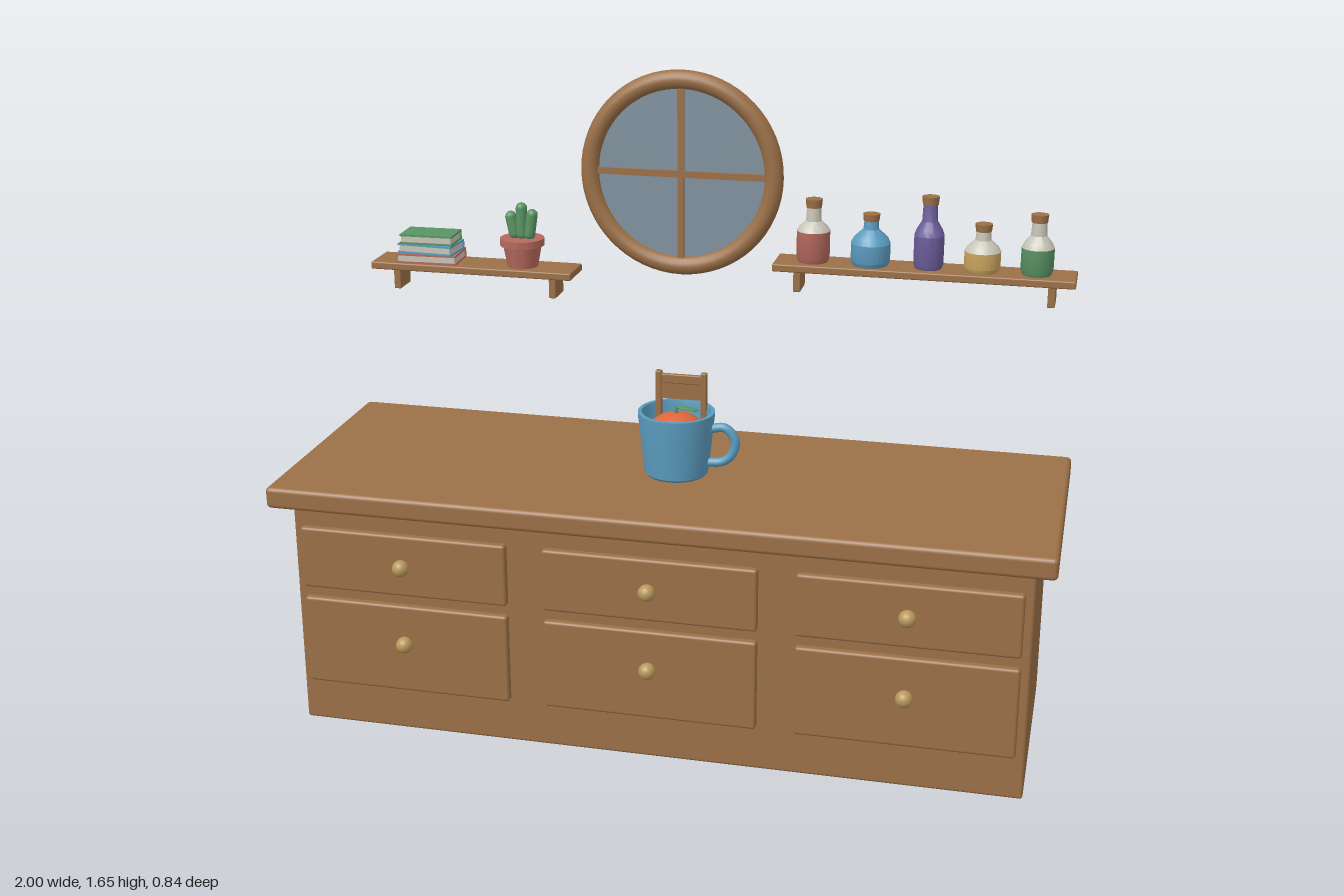
import * as THREE from 'three';
import { RoundedBoxGeometry } from 'three/addons/geometries/RoundedBoxGeometry.js';
import { toCreasedNormals } from 'three/addons/utils/BufferGeometryUtils.js';

const mat = (name, color, side = THREE.FrontSide) => {
  const m = new THREE.MeshStandardMaterial({ color, side });
  m.name = name;
  return m;
};

export function createModel() {
  const root = new THREE.Group();
  root.name = 'counterScene';
  const wood = mat('wood', 0x9b7047);
  const pane = mat('windowGlass', 0x80929e);
  const blue = mat('blue', 0x5b9cbf, THREE.DoubleSide);
  const red = mat('clayRed', 0xb5695e);
  const purple = mat('purple', 0x6d5f9c);
  const yellow = mat('yellow', 0xcba75e);
  const green = mat('green', 0x5a9464);
  const orange = mat('orange', 0xe0653c);
  const cream = mat('cream', 0xc8c5b8);
  const brass = mat('brass', 0xb8975a);

  const add = (name, geo, material, x = 0, y = 0, z = 0, parent = root) => {
    const m = new THREE.Mesh(geo, material);
    m.name = name;
    m.position.set(x, y, z);
    parent.add(m);
    return m;
  };
  // Box given by its limits, with softened edges when r > 0
  const box = (name, material, [x0, x1], [y0, y1], [z0, z1], r = 0, parent = root) => {
    const s = [x1 - x0, y1 - y0, z1 - z0];
    const geo = r ? new RoundedBoxGeometry(...s, 3, r) : new THREE.BoxGeometry(...s);
    return add(name, geo, material, (x0 + x1) / 2, (y0 + y1) / 2, (z0 + z1) / 2, parent);
  };
  const lathe = (pts, n = 24) => toCreasedNormals(
    new THREE.LatheGeometry(pts.map(p => new THREE.Vector2(...p)), n), 0.5);

  // Counter with six drawers
  box('counterBody', wood, [-0.95, 0.95], [0, 0.63], [-0.25, 0.365], 0.008);
  box('counterTop', wood, [-1, 1], [0.62, 0.677], [-0.283, 0.42], 0.012);
  for (const x of [-0.65, 0, 0.65]) {
    for (const [y0, y1, ky] of [[0.392, 0.56, 0.477], [0.12, 0.363, 0.26]]) {
      box('drawerFront', wood, [x - 0.277, x + 0.277], [y0, y1], [0.35, 0.383], 0.008);
      add('drawerKnob', new THREE.SphereGeometry(0.022, 20, 14), brass, x, ky, 0.396);
    }
  }

  // Round window
  const win = new THREE.Group();
  win.name = 'roundWindow';
  win.position.set(-0.095, 1.365, -0.393);
  root.add(win);
  add('windowFrame', new THREE.TorusGeometry(0.257, 0.026, 16, 64), wood, 0, 0, 0, win);
  const disc = add('windowPane', new THREE.CylinderGeometry(0.25, 0.25, 0.008, 48), pane, 0, 0, 0, win);
  disc.rotation.x = Math.PI / 2;
  box('verticalBar', wood, [-0.009, 0.009], [-0.245, 0.245], [-0.007, 0.012], 0, win);
  box('horizontalBar', wood, [-0.245, 0.245], [-0.009, 0.009], [-0.007, 0.012], 0, win);

  // Wall shelves with brackets
  const shelf = (x0, x1, top, brackets) => {
    box('shelfBoard', wood, [x0, x1], [top - 0.021, top], [-0.405, -0.287], 0.004);
    for (const x of brackets)
      box('shelfBracket', wood, [x - 0.01, x + 0.01], [top - 0.085, top - 0.015], [-0.403, -0.325], 0.003);
  };
  shelf(-0.97, -0.385, 1.092, [-0.908, -0.45]);
  shelf(0.178, 0.98, 1.155, [0.24, 0.918]);

  // Corked bottles: x, radius, shoulder, neck start, neck top, cork top, colour, clear upper part
  const bottles = [
    [0.28, 0.045, 0.085, 0.112, 0.148, 0.171, red, true],
    [0.435, 0.053, 0.06, 0.098, 0.12, 0.139, blue, false],
    [0.59, 0.04, 0.09, 0.128, 0.172, 0.194, purple, false],
    [0.732, 0.048, 0.055, 0.085, 0.108, 0.128, yellow, true],
    [0.875, 0.043, 0.072, 0.105, 0.14, 0.161, green, true],
  ];
  for (const [x, r, shoulder, neck, top, cork, color, clear] of bottles) {
    const g = new THREE.Group();
    g.name = 'bottle';
    g.position.set(x, 1.155, -0.345);
    root.add(g);
    add('bottleBody', lathe([[0, 0], [r * 0.88, 0], [r, 0.012], [r, shoulder], [0, shoulder]]), color, 0, 0, 0, g);
    add('bottleNeck', lathe([[r, shoulder], [r * 0.86, shoulder + (neck - shoulder) * 0.4],
      [0.021, neck], [0.019, top], [0, top]]), clear ? cream : color, 0, 0, 0, g);
    add('cork', new THREE.CylinderGeometry(0.023, 0.021, cork - top, 16), wood, 0, (cork + top) / 2, 0, g);
  }

  // Stack of books, page edges to the front
  [[red, 0.172, 0.105, 0.04], [blue, 0.16, 0.1, -0.06], [green, 0.152, 0.094, 0.03]].forEach(([cover, w, d, turn], i) => {
    const g = new THREE.Group();
    g.name = 'book';
    g.position.set(-0.81, 1.092 + i * 0.027, -0.346);
    g.rotation.y = turn;
    root.add(g);
    for (const y of [0, 0.022])
      box('bookCover', cover, [-w / 2, w / 2], [y, y + 0.005], [-d / 2, d / 2], 0, g);
    box('bookSpine', cover, [-w / 2, w / 2], [0, 0.027], [-d / 2, -d / 2 + 0.006], 0, g);
    box('bookPages', cream, [-w / 2 + 0.004, w / 2 - 0.004], [0.005, 0.022], [-d / 2 + 0.006, d / 2 - 0.003], 0, g);
  });

  // Potted cactus
  add('plantPot', lathe([[0, 0], [0.043, 0], [0.054, 0.06], [0.062, 0.06], [0.062, 0.08], [0, 0.08]]),
    red, -0.54, 1.092, -0.346);
  for (const [x, h, lean] of [[-0.022, 0.08, 0.2], [0, 0.105, 0], [0.022, 0.088, -0.15]]) {
    const c = add('cactusStem', new THREE.CapsuleGeometry(0.016, h - 0.032, 6, 12), green, -0.54 + x * 1.2, 1.167 + h / 2, -0.346);
    c.rotation.z = lean;
  }

  // Mug
  const mug = new THREE.Group();
  mug.name = 'mug';
  mug.position.set(0, 0.677, 0.07);
  root.add(mug);
  add('mugWall', lathe([[0, 0], [0.078, 0], [0.083, 0.006], [0.1, 0.163], [0.1, 0.17], [0.09, 0.17],
    [0.088, 0.16], [0.073, 0.012], [0, 0.012]], 40), blue, 0, 0, 0, mug);
  const path = new THREE.CatmullRomCurve3([[0.088, 0.128], [0.13, 0.132], [0.155, 0.1], [0.148, 0.063], [0.122, 0.04], [0.08, 0.035]]
    .map(([x, y]) => new THREE.Vector3(x, y, 0)));
  add('mugHandle', new THREE.TubeGeometry(path, 28, 0.012, 10), blue, 0, 0, 0, mug);

  // Small chair inside the mug, its seat corners just passing the wall
  box('chairSeat', wood, [-0.068, 0.068], [0.108, 0.124], [-0.068, 0.068], 0.004, mug);
  for (const x of [-0.06, 0.06]) {
    box('chairBackPost', wood, [x - 0.008, x + 0.008], [0.11, 0.258], [-0.064, -0.047], 0.003, mug);
  }
  box('chairBackRail', wood, [-0.06, 0.06], [0.225, 0.25], [-0.062, -0.05], 0.003, mug);
  box('chairBackPanel', wood, [-0.055, 0.055], [0.183, 0.228], [-0.06, -0.052], 0, mug);

  // Round fruit with stem and leaf
  const fruit = add('fruit', new THREE.SphereGeometry(0.08, 32, 20), orange, 0, 0.1, 0, mug);
  fruit.scale.y = 0.8;
  add('fruitStem', new THREE.CylinderGeometry(0.004, 0.005, 0.024, 8), green, 0, 0.172, 0, mug);
  const leaf = add('fruitLeaf', new THREE.SphereGeometry(0.032, 16, 8), green, 0.028, 0.178, 0, mug);
  leaf.scale.set(1, 0.12, 0.42);
  leaf.rotation.z = -0.1;

  return root;
}
